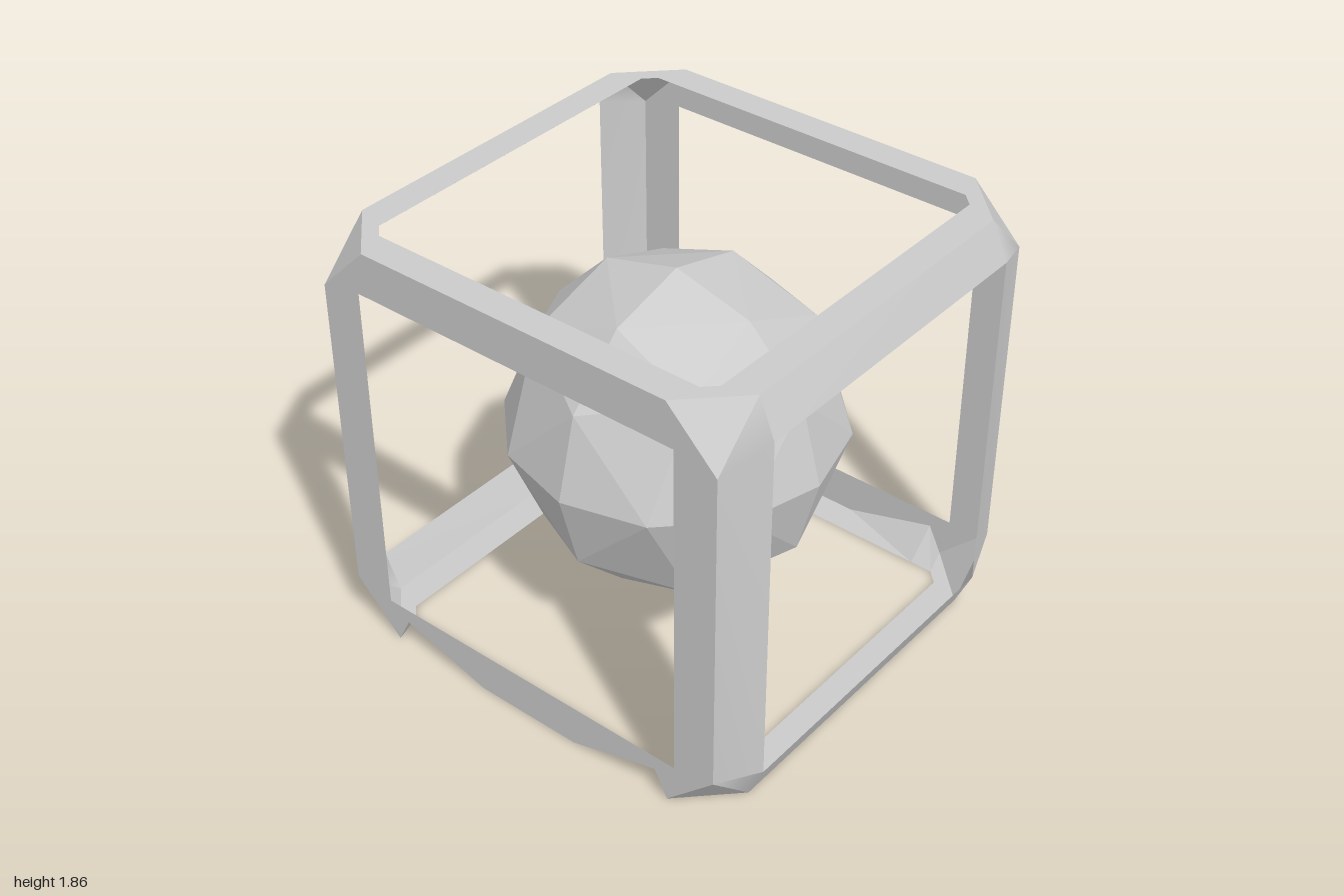
import * as THREE from 'three';

const H = 0.93;   // half size of the cube frame
const C = 0.71;   // where the corner cuts begin
const NOTCH = [[-0.65, 0.12], [-0.24, 0], [0.24, 0], [0.65, 0.12]]; // [along edge, lift]

const material = (flat) => new THREE.MeshStandardMaterial({
  color: 0xcccccc, flatShading: flat, side: THREE.DoubleSide,
});

// Rectangle with cut corners, counter-clockwise, starting on the right edge
const octagon = (w, h, cw, ch) => [
  [w, -ch], [w, ch], [cw, h], [-cw, h], [-w, ch], [-w, -ch], [-cw, -h], [cw, -h],
];

// Surface band between an outer and an inner loop of 3D points
function ring(name, outer, inner, flat = true) {
  const n = outer.length, index = [];
  for (let i = 0; i < n; i++) {
    const j = (i + 1) % n;
    index.push(i, j, n + j, i, n + j, n + i);
  }
  let geo = new THREE.BufferGeometry();
  geo.setAttribute('position', new THREE.Float32BufferAttribute([...outer, ...inner].flat(), 3));
  geo.setIndex(index);
  if (flat) geo = geo.toNonIndexed();
  geo.computeVertexNormals();
  const mesh = new THREE.Mesh(geo, material(flat));
  mesh.name = name;
  return mesh;
}

function addPair(group, make, names) {
  names.forEach((name, i) => {
    const mesh = make(name);
    mesh.rotation.y = i * Math.PI;
    group.add(mesh);
  });
}

export function createModel() {
  const model = new THREE.Group();
  model.name = 'framedBall';
  const body = new THREE.Group();
  body.name = 'body';
  body.position.y = H;
  model.add(body);
  const cut = octagon(H, H, C, C);

  // Front and back frames rise towards their openings
  addPair(body, (name) => ring(name,
    cut.map(([u, v]) => [u, v, H]),
    octagon(0.715, 0.77, 0.715, 0.77).map(([u, v]) => [u, v, 1]), false),
  ['frontFrame', 'backFrame']);

  // Side frames, notched along the bottom edge
  const sideOuter = [...cut.slice(0, 7), ...NOTCH.map(([a, l]) => [a, l - H]), cut[7]];
  const hole = octagon(0.745, 0.745, 0.745, 0.745);
  const sideInner = [...hole.slice(0, 7), ...NOTCH.map(([a]) => [a, -0.745]), hole[7]];
  const toSide = ([u, v]) => [H, v, -u];
  addPair(body, (name) => ring(name, sideOuter.map(toSide), sideInner.map(toSide)),
    ['leftFrame', 'rightFrame']);

  // Top frame
  const small = octagon(0.8, 0.8, 0.75, 0.75);
  const toTop = ([u, v]) => [u, H, -v];
  body.add(ring('topFrame', cut.map(toTop), small.map(toTop)));

  // Bottom frame, its outer side edges lifted to meet the notches
  const toBottom = ([u, v]) => [u, -H, v];
  const withNotches = (loop, x, lifted) => {
    const edge = (s) => NOTCH.map(([a, l]) => [s * x, (lifted ? l : 0) - H, s * a]);
    const p = loop.map(toBottom);
    return [p[0], ...edge(1), ...p.slice(1, 5), ...edge(-1), ...p.slice(5)];
  };
  body.add(ring('bottomFrame', withNotches(cut, H, true), withNotches(small, 0.8, false)));

  // Triangular caps on the eight cut corners
  for (const x of [1, -1]) for (const y of [1, -1]) for (const z of [1, -1]) {
    const pts = [[C * x, H * y, H * z], [H * x, C * y, H * z], [H * x, H * y, C * z]];
    if (x * y * z > 0) pts.reverse();
    const a = new THREE.Vector3(...pts[0]);
    const normal = new THREE.Vector3(...pts[1]).sub(a)
      .cross(new THREE.Vector3(...pts[2]).sub(a));
    if (normal.dot(a) < 0) pts.reverse();
    const geo = new THREE.BufferGeometry();
    geo.setAttribute('position', new THREE.Float32BufferAttribute(pts.flat(), 3));
    geo.computeVertexNormals();
    const cap = new THREE.Mesh(geo, material(true));
    cap.name = 'cornerCap';
    body.add(cap);
  }

  // Faceted ball: octahedron split in three, edge points at 30 degree steps
  const ballGeo = new THREE.OctahedronGeometry(1, 2);
  const pos = ballGeo.attributes.position;
  const v = new THREE.Vector3();
  const step = (c) => {
    const a = Math.abs(c);
    return Math.sign(c) * (a > 0.95 ? 0.7 : a > 0.7 ? 0.606 : a > 0.2 ? 0.35 : 0);
  };
  for (let i = 0; i < pos.count; i++) {
    v.fromBufferAttribute(pos, i);
    if (Math.min(Math.abs(v.x), Math.abs(v.y), Math.abs(v.z)) > 0.2) {
      v.set(Math.sign(v.x) * 0.385, Math.sign(v.y) * 0.45, Math.sign(v.z) * 0.385);
    } else v.set(step(v.x), step(v.y), step(v.z));
    pos.setXYZ(i, v.x, v.y, v.z);
  }
  ballGeo.computeVertexNormals();
  const ball = new THREE.Mesh(ballGeo, material(true));
  ball.name = 'ball';
  body.add(ball);

  return model;
}
